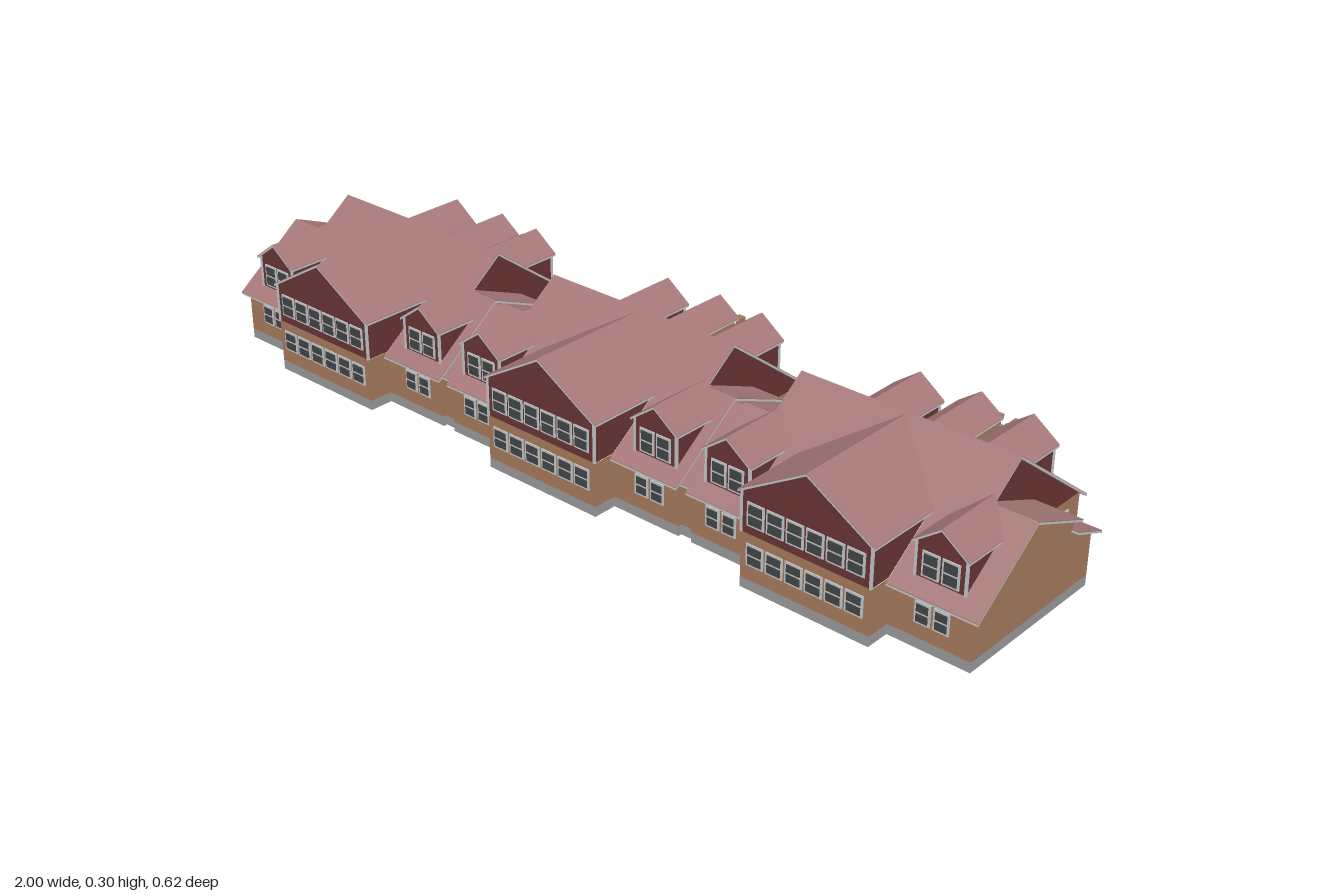
import * as THREE from 'three';

const mat = (name, color, double) => {
  const m = new THREE.MeshStandardMaterial({ color });
  m.name = name;
  if (double) m.side = THREE.DoubleSide;
  return m;
};
const M = {
  roof: mat('roofTile', 0xa67878),
  brick: mat('brick', 0xa87b5e, true),
  cladding: mat('redCladding', 0x6a3434, true),
  base: mat('plinthGrey', 0x9c9c9c, true),
  trim: mat('paleTrim', 0xc4c8c8),
  glass: mat('glass', 0x434547),
};

// Main roof profile, measured by distance d from the ridge line
const RIDGE = 0.3, RZ = 0.013, PITCH = 0.742;
const roofY = z => RIDGE - PITCH * Math.abs(z - RZ);
const dAt = y => (RIDGE - y) / PITCH;
const toShape = pts => new THREE.Shape(pts.map(p => new THREE.Vector2(...p)));

function add(parent, name, geo, material, x = 0, y = 0, z = 0) {
  const m = new THREE.Mesh(geo, material);
  m.name = name;
  m.position.set(x, y, z);
  parent.add(m);
  return m;
}
const box = (g, name, m, w, h, d, x, y, z) => add(g, name, new THREE.BoxGeometry(w, h, d), m, x, y, z);

// Upright flat panels, drawn in x/y or z/y
const panelXY = (g, name, pts, z, m) => add(g, name, new THREE.ShapeGeometry(toShape(pts)), m, 0, 0, z);
const panelZY = (g, name, pts, x, m) =>
  add(g, name, new THREE.ShapeGeometry(toShape(pts)).rotateY(-Math.PI / 2), m, x, 0, 0);

// Roof slope: a plan outline (x, z) lifted to height(x, z); tile skin over a pale board
function slope(g, name, plan, height, holes = []) {
  for (const [part, top, depth, m] of [['Tiles', 0.001, 0.0015, M.roof], ['Boards', -0.0005, 0.0045, M.trim]]) {
    const s = toShape(plan);
    for (const h of holes) s.holes.push(new THREE.Path(h.map(p => new THREE.Vector2(...p))));
    const geo = new THREE.ExtrudeGeometry(s, { depth, bevelEnabled: false }).rotateX(Math.PI / 2);
    const p = geo.attributes.position;
    for (let i = 0; i < p.count; i++) p.setY(i, p.getY(i) + top + height(p.getX(i), p.getZ(i)));
    geo.computeVertexNormals();
    add(g, name + part, geo, m);
  }
}

// Wall ring following a plan outline
function wallRing(g, name, plan, y0, y1, m) {
  const pos = [], idx = [];
  plan.forEach(([x, z], i) => {
    const [u, v] = plan[(i + 1) % plan.length], k = i * 4;
    pos.push(x, y0, z, u, y0, v, u, y1, v, x, y1, z);
    idx.push(k, k + 2, k + 1, k, k + 3, k + 2);
  });
  // outline runs anticlockwise from above once reversed here
  for (let i = 0; i < idx.length; i += 3) [idx[i + 1], idx[i + 2]] = [idx[i + 2], idx[i + 1]];
  const geo = new THREE.BufferGeometry();
  geo.setAttribute('position', new THREE.Float32BufferAttribute(pos, 3));
  geo.setIndex(idx);
  geo.computeVertexNormals();
  add(g, name, geo, m);
}

// Framed window with stacked panes; side = true turns it to face along x
function win(g, x, y, z, w, h, panes = 1, side = false) {
  const n = new THREE.Group();
  n.name = 'window';
  box(n, 'windowFrame', M.trim, w, h, 0.005, 0, 0, 0);
  const f = 0.0045, ph = (h - f * (panes + 1)) / panes;
  for (let i = 0; i < panes; i++)
    box(n, 'windowPane', M.glass, w - 2 * f, ph, 0.008, 0, -h / 2 + f + ph / 2 + i * (ph + f), 0);
  n.position.set(x, y, z);
  if (side) n.rotation.y = Math.PI / 2;
  g.add(n);
}

// Gabled projection from the main roof: bay or dormer
function gable(g, name, o) {
  const { c, dir, half, eave, ridge, dWall, dRoof, m, y0 = RIDGE - PITCH * dWall } = o;
  const k = (ridge - eave) / half, w = half - 0.007, e = ridge - k * w - 0.004;
  const Z = d => RZ + dir * d, zw = Z(dWall);
  panelXY(g, name + 'Face', [[c - w, y0], [c + w, y0], [c + w, e], [c, ridge - 0.004], [c - w, e]], zw, m);
  for (const s of [-1, 1]) {
    panelZY(g, name + 'Cheek',
      [[zw, y0], [zw, e], [Z(dAt(e)), e], [Z(Math.min(dWall - 0.001, dAt(y0))), y0]], c + s * w, m);
    slope(g, name + 'Roof',
      [[c, Z(dAt(ridge))], [c, Z(dRoof)], [c + s * half, Z(dRoof)], [c + s * half, Z(dAt(eave))]],
      x => ridge - k * Math.abs(x - c));
    if (m === M.cladding) box(g, name + 'CornerBoard', M.trim, 0.005, e - y0, 0.005, c + s * w, (e + y0) / 2, zw);
  }
}
const dormerHole = (c, dir, w, d0, d1, d2) =>
  [[c - w, d0], [c - w, d1], [c, d2], [c + w, d1], [c + w, d0]].map(([x, d]) => [x, RZ + dir * d]);

// Arched porch on the back
function porch(g) {
  const p = new THREE.Group();
  p.name = 'porch';
  const archPanel = (w, top, depth) => {
    const s = toShape([[-w, 0.022], [w, 0.022], [w, top], [-w, top]]), a = w - 0.005;
    const h = new THREE.Path();
    h.moveTo(-a, 0.0225);
    h.lineTo(a, 0.0225);
    h.lineTo(a, 0.096);
    h.absellipse(0, 0.096, a, 0.015, 0, Math.PI, false);
    s.holes.push(h);
    return new THREE.ExtrudeGeometry(s, { depth, bevelEnabled: false, curveSegments: 10 }).translate(0, 0, -depth / 2);
  };
  box(p, 'porchFloor', M.base, 0.106, 0.022, 0.085, 0, 0.011, -0.2695);
  box(p, 'porchDeck', M.cladding, 0.1, 0.007, 0.07, 0, 0.1355, -0.262);
  add(p, 'porchFrontArch', archPanel(0.042, 0.148, 0.009), M.brick, 0, 0, -0.303);
  for (const s of [-1, 1]) {
    add(p, 'porchSideArch', archPanel(0.036, 0.132, 0.009).rotateY(Math.PI / 2), M.brick, s * 0.044, 0, -0.264);
    box(p, 'porchPost', M.brick, 0.015, 0.136, 0.015, s * 0.044, 0.09, -0.303);
  }
  for (const x of [-0.044, 0, 0.044]) {
    box(p, 'postNeck', M.brick, 0.011, 0.02, 0.011, x, 0.154, -0.303);
    box(p, 'postCap', M.brick, 0.018, 0.009, 0.018, x, 0.1655, -0.303);
  }
  box(p, 'door', M.glass, 0.04, 0.075, 0.006, 0, 0.06, -0.228);
  g.add(p);
}

// One house; xl/xr are its end walls, ol/or the roof ends
function house(xl, xr, ol, or) {
  const g = new THREE.Group();
  g.name = 'house';
  const plan = [[-0.147, 0.308], [0.147, 0.308], [0.147, 0.253], [xr, 0.253], [xr, -0.123], [0.237, -0.123],
    [0.237, -0.227], [-0.237, -0.227], [-0.237, -0.123], [xl, -0.123], [xl, 0.253], [-0.147, 0.253]];
  wallRing(g, 'plinth', plan, 0, 0.022, M.base);
  wallRing(g, 'brickWalls', plan, 0.022, 0.12, M.brick);

  // Front slope over main block and wings, opened for the bay and dormers
  slope(g, 'frontRoof', [[ol, 0.265], [ol, 0.095], [-0.247, 0.095], [-0.247, RZ], [0.247, RZ], [0.247, 0.095],
    [or, 0.095], [or, 0.265], [0.147, 0.265], [0.147, 0.136], [0, 0.02], [-0.147, 0.136], [-0.147, 0.265]],
  (x, z) => roofY(z), [-0.24, 0.24].map(c => dormerHole(c, 1, 0.052, 0.222, 0.125, 0.084)));
  slope(g, 'backRoof', [[-0.247, RZ], [0.247, RZ], [0.247, -0.237], [-0.247, -0.237]], (x, z) => roofY(z),
    [...[-0.13, 0.13].map(c => dormerHole(c, -1, 0.052, 0.222, 0.125, 0.07)), dormerHole(0, -1, 0.045, 0.235, 0.125, 0.08)]);

  // Bay and dormers
  gable(g, 'frontBay', { c: 0, dir: 1, half: 0.153, eave: 0.207, ridge: 0.297, dWall: 0.295, dRoof: 0.3, m: M.cladding, y0: 0.12 });
  for (const [dir, x] of [[1, 0.24], [-1, 0.13]])
    for (const c of [-x, x]) {
      gable(g, 'dormer', { c, dir, half: 0.06, eave: 0.207, ridge: 0.251, dWall: 0.223, dRoof: 0.23, m: M.cladding });
      for (const s of [-1, 1]) win(g, c + s * 0.021, 0.166, RZ + dir * 0.223, 0.037, 0.052, 2);
    }
  gable(g, 'entranceGable', { c: 0, dir: -1, half: 0.053, eave: 0.207, ridge: 0.245, dWall: 0.241, dRoof: 0.25, m: M.brick, y0: 0.12 });
  win(g, 0, 0.178, -0.228, 0.034, 0.042);
  for (let i = 0; i < 6; i++) {
    const x = (i - 2.5) * 0.045;
    win(g, x, 0.077, 0.308, 0.04, 0.046, 2);
    win(g, x, 0.163, 0.308, 0.04, 0.05, 2);
  }

  // Both sides: gable walls, stepped wing roofs and windows
  for (const [s, wall, end] of [[-1, xl, ol], [1, xr, or]]) {
    panelZY(g, 'mainGableWall', [[0.253, 0.12], [RZ, 0.296], [-0.227, 0.12]], s * 0.237, M.cladding);
    panelZY(g, 'wingEndWall', [[0.253, 0.12], [0.095, 0.236], [-0.056, 0.175], [-0.056, 0.147], [-0.123, 0.12]], wall, M.brick);
    const a = s * 0.237;
    slope(g, 'wingUpperRoof', [[a, 0.095], [end, 0.095], [end, -0.06], [a, -0.06]], (x, z) => 0.239 + 0.41 * (z - 0.095));
    slope(g, 'wingLowerRoof', [[a, -0.05], [end, -0.05], [end, -0.135], [a, -0.135]], (x, z) => 0.15 + 0.4 * (z + 0.056));
    panelXY(g, 'wingStepWall', [[a, 0.145], [wall, 0.145], [wall, 0.175], [a, 0.175]], -0.056, M.brick);
    for (const t of [-1, 1]) {
      win(g, s * 0.24 + t * 0.02, 0.076, 0.253, 0.034, 0.045, 2);
      win(g, s * 0.145 + t * 0.02, 0.076, -0.227, 0.034, 0.045, 2);
    }
    win(g, s * 0.28, 0.076, -0.123, 0.034, 0.045, 2);
    win(g, s * 0.237, 0.076, -0.172, 0.034, 0.046, 1, true);
  }
  porch(g);
  return g;
}

// Narrow link between neighbouring houses
function link() {
  const g = new THREE.Group();
  g.name = 'link';
  const w = 0.016;
  for (const z of [0.244, -0.058]) {
    const y = z > 0 ? 0.122 : 0.168;
    panelXY(g, 'linkPlinth', [[-w, 0], [w, 0], [w, 0.022], [-w, 0.022]], z, M.base);
    panelXY(g, 'linkWall', [[-w, 0.022], [w, 0.022], [w, y], [-w, y]], z, M.brick);
  }
  slope(g, 'linkFrontRoof', [[-w, 0.095], [w, 0.095], [w, 0.252], [-w, 0.252]], (x, z) => roofY(z) - 0.006);
  slope(g, 'linkBackRoof', [[-w, 0.095], [w, 0.095], [w, -0.067], [-w, -0.067]], (x, z) => 0.233 + 0.41 * (z - 0.095));
  return g;
}

export function createModel() {
  const model = new THREE.Group();
  model.name = 'terrace';
  for (const i of [-1, 0, 1]) {
    const h = house(i < 0 ? -0.325 : -0.314, i > 0 ? 0.325 : 0.314, i < 0 ? -0.34 : -0.318, i > 0 ? 0.34 : 0.318);
    h.position.x = i * 0.66;
    model.add(h);
  }
  for (const x of [-0.33, 0.33]) {
    const l = link();
    l.position.x = x;
    model.add(l);
  }
  return model;
}
